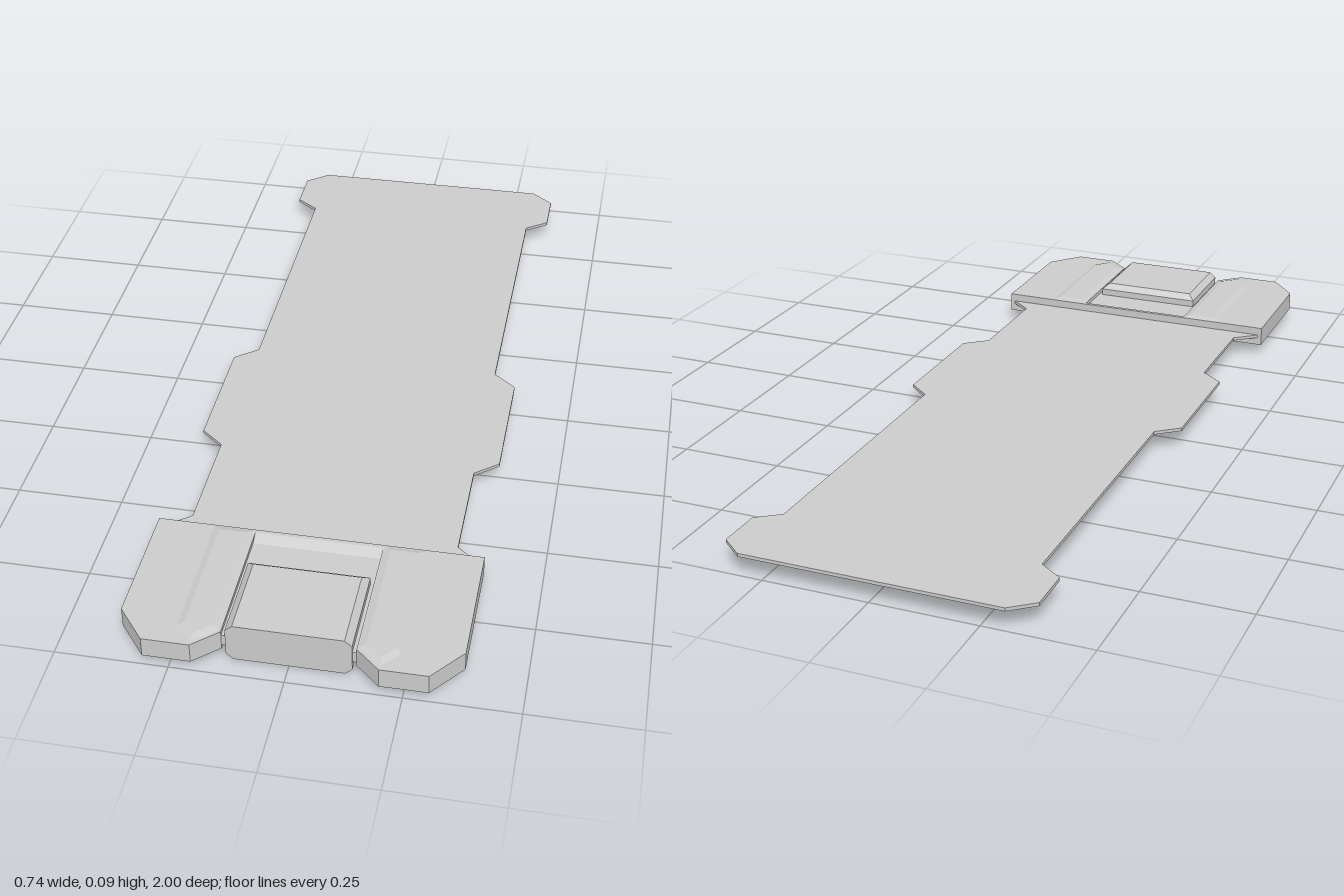
import * as THREE from 'three';

const material = new THREE.MeshStandardMaterial({ color: 0xcccccc, flatShading: true });

// Closed solid through stacked outlines: sections = [[y, [[x, z], ...]], ...] from bottom to top
function loft(name, sections) {
  const rings = sections.map(([y, outline]) => {
    const flat = outline.map(([x, z]) => new THREE.Vector2(x, -z));
    if (THREE.ShapeUtils.area(flat) < 0) flat.reverse();
    return { flat, pts: flat.map(p => [p.x, y, -p.y]) };
  });
  const pos = [];
  const tri = (a, b, c) => pos.push(...a, ...b, ...c);
  for (let k = 0; k < rings.length - 1; k++) {
    const a = rings[k].pts, b = rings[k + 1].pts;
    a.forEach((p, i) => {
      const j = (i + 1) % a.length;
      tri(p, a[j], b[j]);
      tri(p, b[j], b[i]);
    });
  }
  const low = rings[0], top = rings[rings.length - 1];
  for (const [a, b, c] of THREE.ShapeUtils.triangulateShape(low.flat, [])) tri(low.pts[c], low.pts[b], low.pts[a]);
  for (const [a, b, c] of THREE.ShapeUtils.triangulateShape(top.flat, [])) tri(top.pts[a], top.pts[b], top.pts[c]);
  const geo = new THREE.BufferGeometry();
  geo.setAttribute('position', new THREE.Float32BufferAttribute(pos, 3));
  geo.computeVertexNormals();
  const mesh = new THREE.Mesh(geo, material);
  mesh.name = name;
  return mesh;
}

const rect = (x, z0, z1) => [[-x, z0], [x, z0], [x, z1], [-x, z1]];
const mirror = (outline, s) => outline.map(([x, z]) => [x * s, z]);

export function createModel() {
  const model = new THREE.Group();
  model.name = 'flatConnector';

  // Thin strip with paired side tabs
  const edge = [
    [0.305, -1], [0.36, -0.955], [0.36, -0.845], [0.305, -0.805],
    [0.305, -0.09], [0.36, -0.045], [0.36, 0.265], [0.305, 0.31],
    [0.305, 0.575], [0.36, 0.62], [0.36, 0.64],
  ];
  const strip = [...edge, ...mirror(edge, -1).reverse()];
  model.add(loft('strip', [[0.045, strip], [0.053, strip]]));

  // Side wings of the head, with a sloped inner wall
  const wing = inner => [
    [inner, 0.62], [0.37, 0.62], [0.37, 0.92], [0.305, 1], [0.2, 1], [inner, 0.95],
  ];
  // Raised pad on both faces of each wing
  const padOuter = [[0.148, 0.623], [0.24, 0.623], [0.24, 0.945], [0.2, 0.99], [0.148, 0.945]];
  const padInner = [[0.163, 0.638], [0.226, 0.638], [0.226, 0.938], [0.2, 0.968], [0.163, 0.935]];
  for (const [side, s] of [['left', 1], ['right', -1]]) {
    const w = mirror(wing(0.145), s);
    model.add(loft(side + 'Wing', [[0.025, w], [0.073, w]]));
    const o = mirror(padOuter, s), i = mirror(padInner, s);
    model.add(loft(side + 'Pad', [[0.019, i], [0.025, o], [0.073, o], [0.078, i]]));
  }

  // Recessed web joining the wings, with a raised lip at the back
  const web = rect(0.15, 0.64, 0.95);
  model.add(loft('web', [[0.035, web], [0.063, web]]));
  model.add(loft('rearLip', [
    [0.035, rect(0.15, 0.62, 0.655)], [0.025, rect(0.15, 0.62, 0.63)],
  ].reverse().concat([
    [0.063, rect(0.15, 0.62, 0.655)], [0.073, rect(0.15, 0.62, 0.63)],
  ])));

  // Bevelled latch block in the middle
  model.add(loft('latchBlock', [
    [0, rect(0.12, 0.755, 0.952)],
    [0.014, rect(0.136, 0.738, 0.952)],
    [0.08, rect(0.136, 0.738, 0.952)],
    [0.094, rect(0.12, 0.755, 0.952)],
  ]));
  return model;
}
